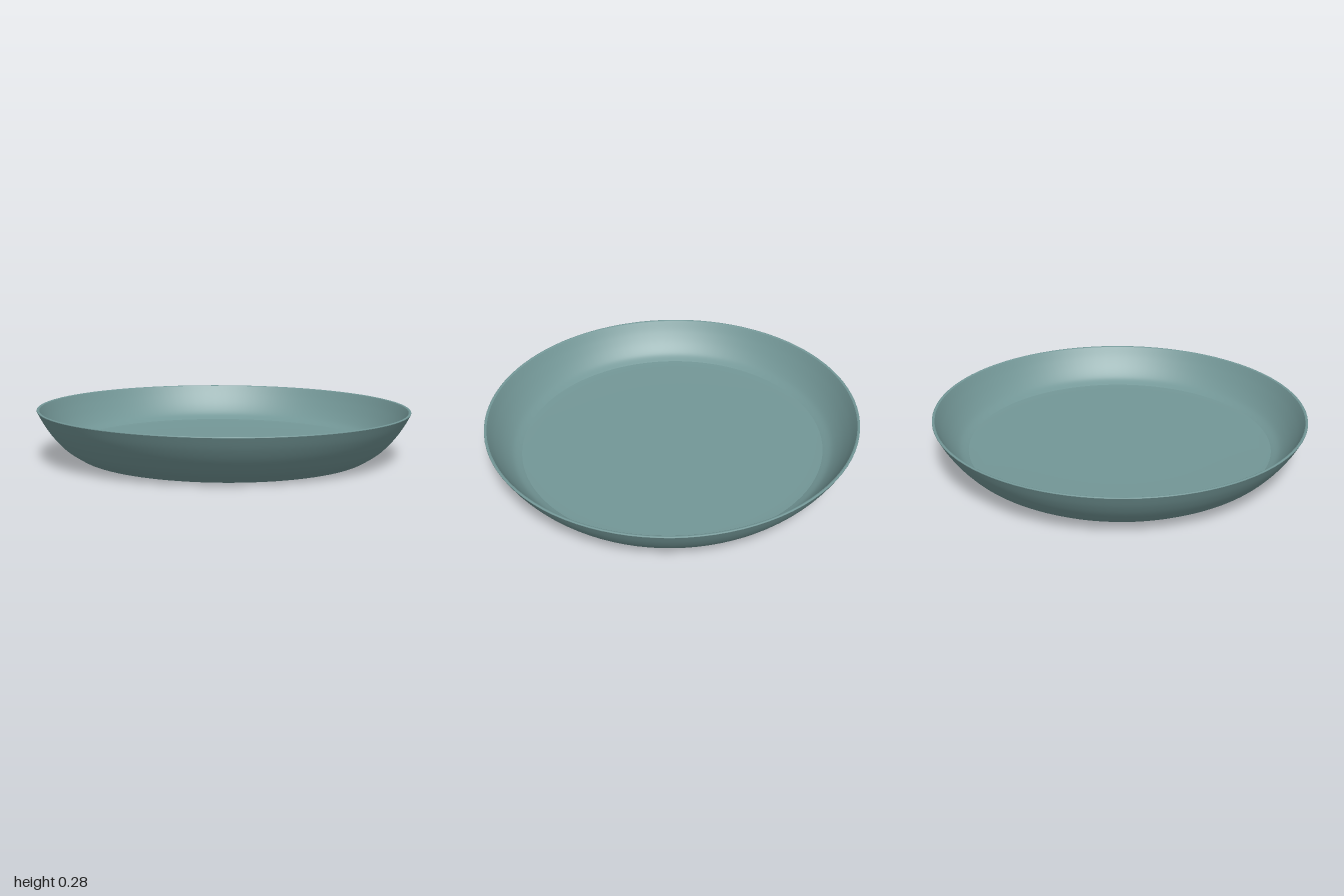
import * as THREE from 'three';

const SEGMENTS = 96;

// smooth curve through a few [radius, height] points
function smooth(points, divisions = 24) {
  return new THREE.SplineCurve(points.map(([r, y]) => new THREE.Vector2(r, y))).getPoints(divisions);
}

export function createModel() {
  const glaze = new THREE.MeshStandardMaterial({ color: 0x739797 });
  glaze.name = 'greyTealGlaze';

  const dish = new THREE.Group();
  dish.name = 'dish';

  // each section is revolved on its own, so the edges between sections stay crisp
  function revolve(name, points) {
    const profile = points.map((p) => (p.isVector2 ? p : new THREE.Vector2(...p)));
    const mesh = new THREE.Mesh(new THREE.LatheGeometry(profile, SEGMENTS), glaze);
    mesh.name = name;
    dish.add(mesh);
  }

  // underside: recessed base with a small raised ring, then the foot
  revolve('baseCentre', [[0, 0.03], [0.28, 0.03]]);
  revolve('baseRing', smooth([[0.28, 0.03], [0.287, 0.018], [0.298, 0.013], [0.309, 0.018], [0.316, 0.03]], 12));
  revolve('baseRecess', [[0.316, 0.03], [0.715, 0.03]]);
  revolve('footInside', smooth([[0.715, 0.03], [0.735, 0.024], [0.75, 0.008], [0.762, 0]], 10));
  revolve('foot', smooth([[0.762, 0], [0.775, 0], [0.79, 0.007]], 6));

  // outer wall, rim and inner bowl
  revolve('outerWall', smooth([[0.79, 0.007], [0.86, 0.055], [0.92, 0.12], [0.965, 0.185], [0.998, 0.247]]));
  revolve('rim', smooth([[0.998, 0.247], [0.997, 0.251], [0.99, 0.252], [0.984, 0.249]], 8));
  revolve('innerWall', smooth([[0.984, 0.249], [0.952, 0.19], [0.91, 0.128], [0.865, 0.08], [0.82, 0.055]]));
  revolve('floor', [[0.82, 0.055], [0.76, 0.05], [0.4, 0.05], [0, 0.05]]);

  // the dish rests with a very slight tilt towards the front left
  dish.rotation.set(0.01, 0, -0.01);
  dish.position.y = 0.011;

  const model = new THREE.Group();
  model.name = 'shallowDish';
  model.add(dish);
  return model;
}
